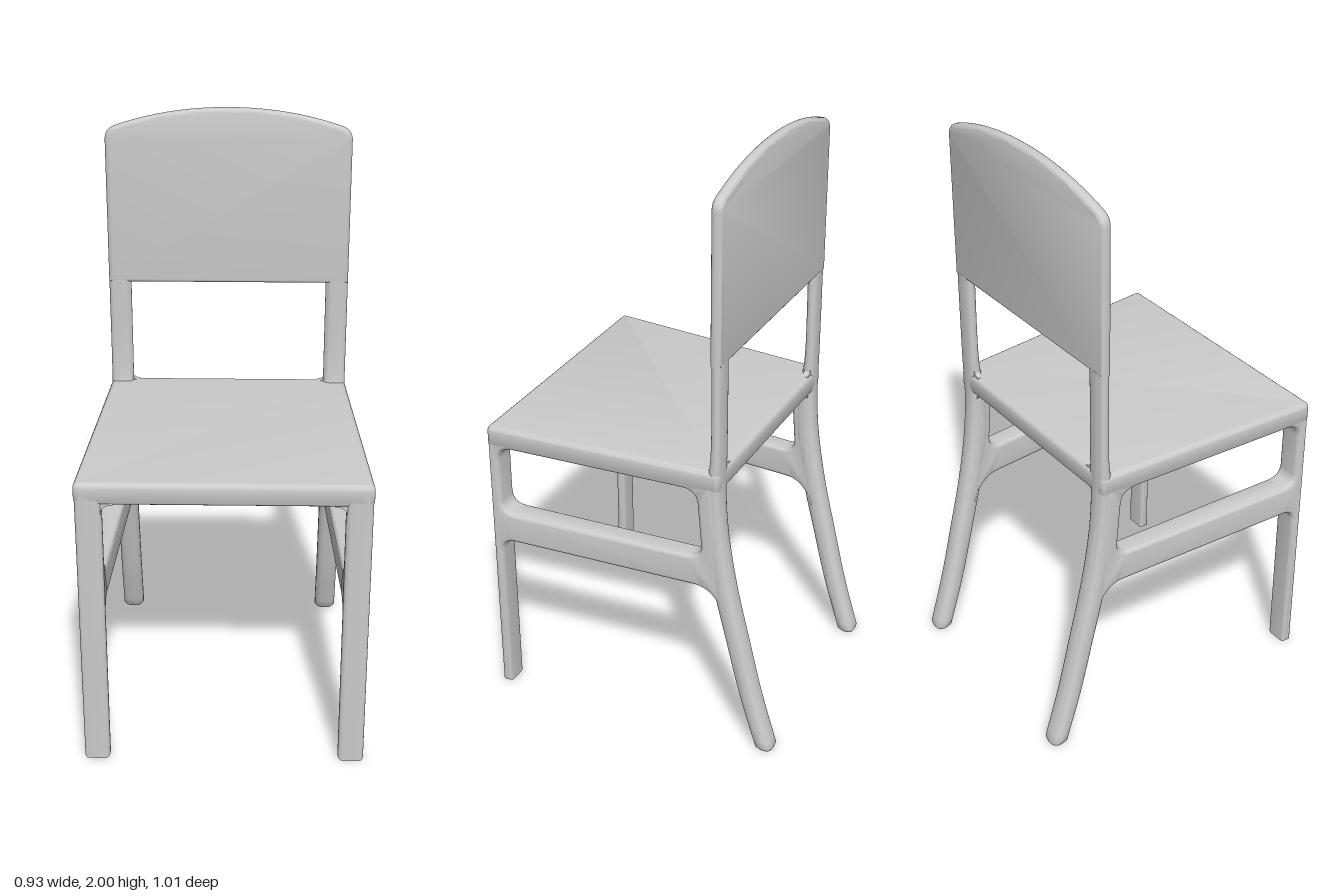
import * as THREE from 'three';
import { toCreasedNormals } from 'three/addons/utils/BufferGeometryUtils.js';

const material = new THREE.MeshStandardMaterial({ color: 0xcccccc });

function addMesh(group, name, geometry) {
  const mesh = new THREE.Mesh(toCreasedNormals(geometry, 0.7), material);
  mesh.name = name;
  group.add(mesh);
}

// Extrusion with rounded edges that keeps the drawn outline and total depth.
function roundedExtrude(shape, depth, round) {
  const geometry = new THREE.ExtrudeGeometry(shape, {
    depth: depth - 2 * round, bevelEnabled: true, bevelSize: round, bevelOffset: -round,
    bevelThickness: round, bevelSegments: 4, curveSegments: 10,
  });
  return geometry.translate(0, 0, round - depth / 2);
}

// Closed outline with rounded corners.
function roundedPolygon(points, r, path) {
  const v = points.map(([x, y]) => new THREE.Vector2(x, y));
  v.forEach((p, i) => {
    const toward = (q) => p.clone().add(q.clone().sub(p).setLength(r));
    const a = toward(v[(i + v.length - 1) % v.length]);
    const b = toward(v[(i + 1) % v.length]);
    if (i) path.lineTo(a.x, a.y); else path.moveTo(a.x, a.y);
    path.quadraticCurveTo(p.x, p.y, b.x, b.y);
  });
  path.closePath();
  return path;
}

// Front leg, stretcher and top rail as one filleted frame; x follows the seat taper.
function sideFrame(side) {
  const s = new THREE.Shape();
  s.moveTo(0.505, 0);
  s.lineTo(0.505, 1.0);
  s.lineTo(-0.28, 1.0);
  s.lineTo(-0.31, 0.6);
  s.lineTo(-0.325, 0.5);
  s.quadraticCurveTo(-0.285, 0.6, -0.22, 0.6);
  s.lineTo(0.425, 0.6);
  s.quadraticCurveTo(0.472, 0.6, 0.472, 0.55);
  s.lineTo(0.472, 0);
  s.closePath();
  s.holes.push(roundedPolygon(
    [[0.468, 0.71], [0.468, 0.957], [-0.225, 0.957], [-0.245, 0.71]], 0.05, new THREE.Path()));
  const geometry = roundedExtrude(s, 0.08, 0.014).rotateY(-Math.PI / 2);
  const p = geometry.attributes.position;
  for (let i = 0; i < p.count; i++) {
    const t = (p.getZ(i) + 0.3) / 0.805;
    const half = 0.0365 + 0.006 * t;
    const outer = 0.404 + 0.061 * t;
    p.setX(i, side * (outer - half) + (p.getX(i) / 0.04) * half);
  }
  return geometry;
}

// Curved back leg and post: rounded sections lofted along [half depth, y, z].
function backLeg(side) {
  const curve = new THREE.CatmullRomCurve3([
    [0.032, 0, -0.472], [0.034, 0.2, -0.411], [0.035, 0.4, -0.361], [0.036, 0.6, -0.313],
    [0.037, 0.8, -0.279], [0.03, 0.95, -0.275], [0.02, 1.07, -0.285], [0.019, 1.41, -0.286],
  ].map((p) => new THREE.Vector3(...p)));
  const rings = [[0, 0], [0, 0.8], [0.008, 1]];
  for (let i = 1; i <= 36; i++) rings.push([i / 36, 1]);
  rings.push([1, 0]);
  const n = 24, positions = [], index = [];
  const round = (c) => Math.sign(c) * Math.abs(c) ** 0.75;
  rings.forEach(([t, scale], j) => {
    const c = curve.getPoint(t);
    for (let i = 0; i < n; i++) {
      const a = (i / n) * Math.PI * 2;
      positions.push(side * 0.3675 + 0.0375 * scale * round(Math.cos(a)), c.y,
        c.z + c.x * scale * round(Math.sin(a)));
      if (j === rings.length - 1) continue;
      const k = j * n + i, next = j * n + ((i + 1) % n);
      index.push(k, k + n, next, next, k + n, next + n);
    }
  });
  const geometry = new THREE.BufferGeometry();
  geometry.setAttribute('position', new THREE.Float32BufferAttribute(positions, 3));
  geometry.setIndex(index);
  return geometry;
}

// Small concave fillet filling an inside corner; up is +1 above the seat, -1 below.
function cornerFillet(side, x, y, z, depth, r, up) {
  const s = new THREE.Shape();
  s.moveTo(0.01 * side, -0.01 * up);
  s.lineTo(-r * side, -0.01 * up);
  s.lineTo(-r * side, 0);
  s.quadraticCurveTo(0, 0, 0, r * up);
  s.lineTo(0.01 * side, r * up);
  s.closePath();
  return new THREE.ExtrudeGeometry(s, { depth, bevelEnabled: false, curveSegments: 8 })
    .translate(side * x, y, z - depth / 2);
}

export function createModel() {
  const chair = new THREE.Group();
  chair.name = 'chair';

  // Tapered seat
  const plan = roundedPolygon(
    [[-0.468, 0.505], [-0.405, -0.303], [0.405, -0.303], [0.468, 0.505]], 0.02, new THREE.Shape());
  addMesh(chair, 'seat',
    roundedExtrude(plan, 0.076, 0.018).rotateX(Math.PI / 2).translate(0, 0.997, 0));

  // Back panel with arched top
  const panel = new THREE.Shape();
  panel.moveTo(-0.405, 1.4);
  panel.lineTo(0.405, 1.4);
  panel.lineTo(0.405, 1.895);
  panel.quadraticCurveTo(0.405, 1.925, 0.375, 1.938);
  panel.quadraticCurveTo(0.2, 2, 0, 2);
  panel.quadraticCurveTo(-0.2, 2, -0.375, 1.938);
  panel.quadraticCurveTo(-0.405, 1.925, -0.405, 1.895);
  panel.closePath();
  addMesh(chair, 'backPanel', roundedExtrude(panel, 0.038, 0.014).translate(0, 0, -0.286));

  // Left and right supports
  for (const [label, side] of [['left', 1], ['right', -1]]) {
    const support = new THREE.Group();
    support.name = `${label}Support`;
    addMesh(support, `${label}FrontLegAndStretcher`, sideFrame(side));
    addMesh(support, `${label}BackLeg`, backLeg(side));
    addMesh(support, `${label}FrontFillet`, cornerFillet(side, 0.383, 0.96, 0.488, 0.022, 0.04, -1));
    addMesh(support, `${label}BackFillet`, cornerFillet(side, 0.335, 0.96, -0.27, 0.04, 0.04, -1));
    addMesh(support, `${label}PostFillet`, cornerFillet(side, 0.334, 1.035, -0.285, 0.022, 0.025, 1));
    chair.add(support);
  }
  return chair;
}
